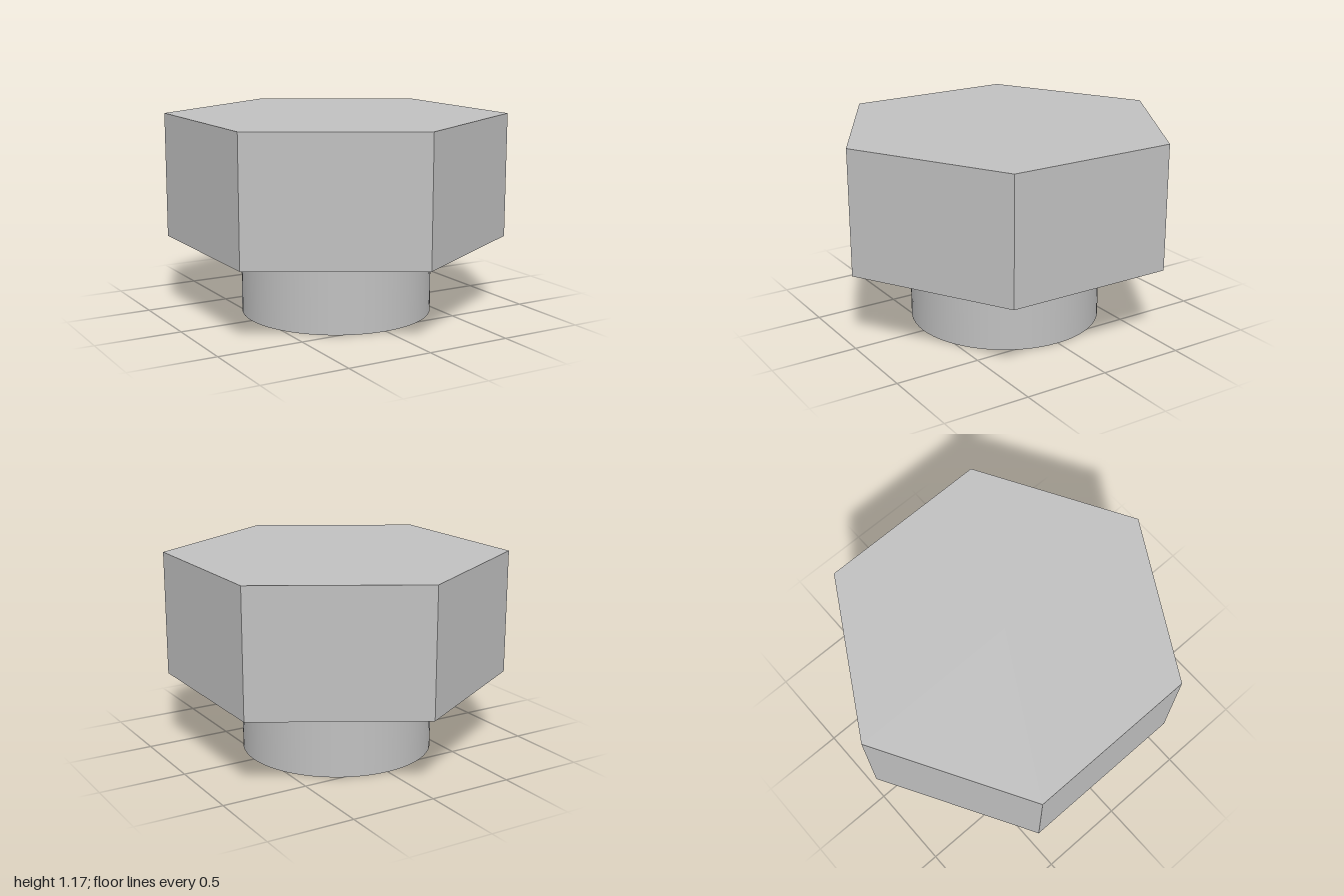
import * as THREE from 'three';

const HEAD_BOTTOM = 0.44;
const HEAD_TOP = 1.172;

export function createModel() {
  const model = new THREE.Group();
  model.name = 'hexPlug';

  const steel = new THREE.MeshStandardMaterial({ color: 0xc0c0c0 });
  steel.name = 'light grey steel';

  // Adds an upright prism or cylinder between two heights
  function addColumn(name, radius, bottom, top, sides, faceted) {
    let geometry = new THREE.CylinderGeometry(radius, radius, top - bottom, sides);
    if (faceted) {
      geometry = geometry.toNonIndexed();
      geometry.computeVertexNormals();
    }
    geometry.translate(0, (bottom + top) / 2, 0);
    const mesh = new THREE.Mesh(geometry, steel);
    mesh.name = name;
    model.add(mesh);
  }

  // Hexagonal head, corners pointing to the front and back
  addColumn('hexHead', 1, HEAD_BOTTOM, HEAD_TOP, 6, true);

  // Smooth round shank below the head
  addColumn('shank', 0.563, 0, HEAD_BOTTOM, 64, false);

  return model;
}
